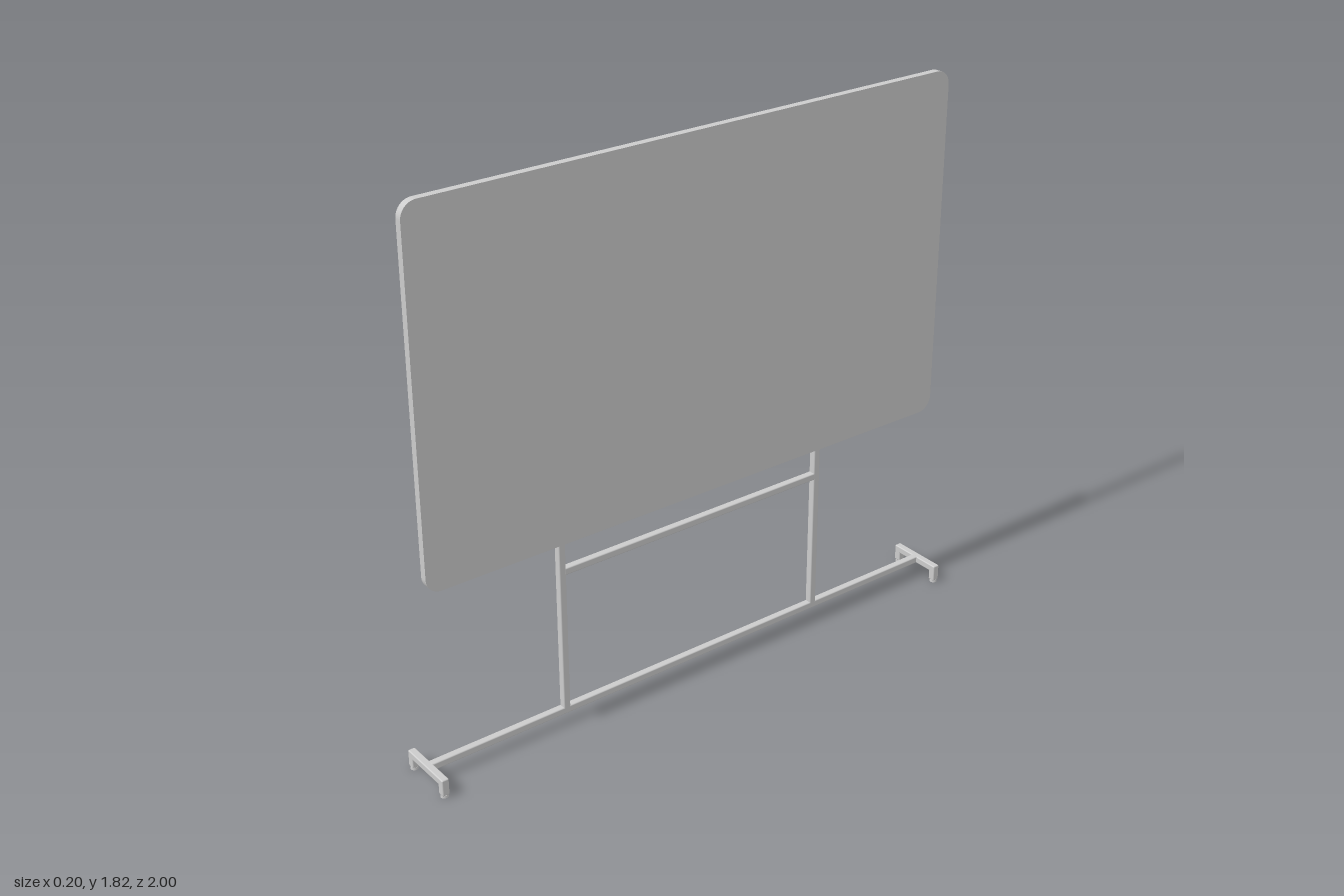
import * as THREE from 'three';
import { RoundedBoxGeometry } from 'three/addons/geometries/RoundedBoxGeometry.js';

const T = 0.024; // square tube thickness
const X = -0.002; // frame centre plane

export function createModel() {
  const model = new THREE.Group();
  model.name = 'mobileBoard';
  const grey = new THREE.MeshStandardMaterial({ color: 0xcccccc });

  const add = (name, geometry, x, y, z) => {
    const mesh = new THREE.Mesh(geometry, grey);
    mesh.name = name;
    mesh.position.set(x, y, z);
    model.add(mesh);
    return mesh;
  };
  const tube = (name, w, h, d, x, y, z) =>
    add(name, new RoundedBoxGeometry(w, h, d, 2, 0.004), x, y, z);

  // Board panel with rounded corners
  const a = 0.97, b = 0.582, r = 0.05;
  const outline = new THREE.Shape();
  outline.moveTo(-a + r, -b);
  outline.lineTo(a - r, -b);
  outline.absarc(a - r, -b + r, r, -Math.PI / 2, 0);
  outline.absarc(a - r, b - r, r, 0, Math.PI / 2);
  outline.absarc(-a + r, b - r, r, Math.PI / 2, Math.PI);
  outline.absarc(-a + r, -b + r, r, Math.PI, Math.PI * 1.5);
  const panel = new THREE.ExtrudeGeometry(outline, { depth: 0.024, bevelEnabled: false, curveSegments: 8 });
  panel.rotateY(Math.PI / 2);
  add('boardPanel', panel, 0.01, 1.233, 0);

  // Upright frame and its rails
  tube('topRail', T, T, 1.018, X, 1.61, 0);
  tube('middleRail', T, T, 0.98, X, 0.54, 0);
  tube('baseBeam', T, T, 1.96, X, 0.052, 0);

  for (const side of [1, -1]) {
    tube('upright', T, 1.57, T, X, 0.835, side * 0.497);

    // Foot bar with two short legs and glides
    const z = side * 0.986;
    tube('footBar', 0.195, T, T, 0, 0.052, z);
    for (const end of [1, -1]) {
      const x = end * 0.0855;
      tube('footLeg', T, 0.056, T, x, 0.036, z);
      add('footGlide', new THREE.CylinderGeometry(0.012, 0.0125, 0.009, 16), x, 0.0045, z);
    }
  }
  return model;
}
